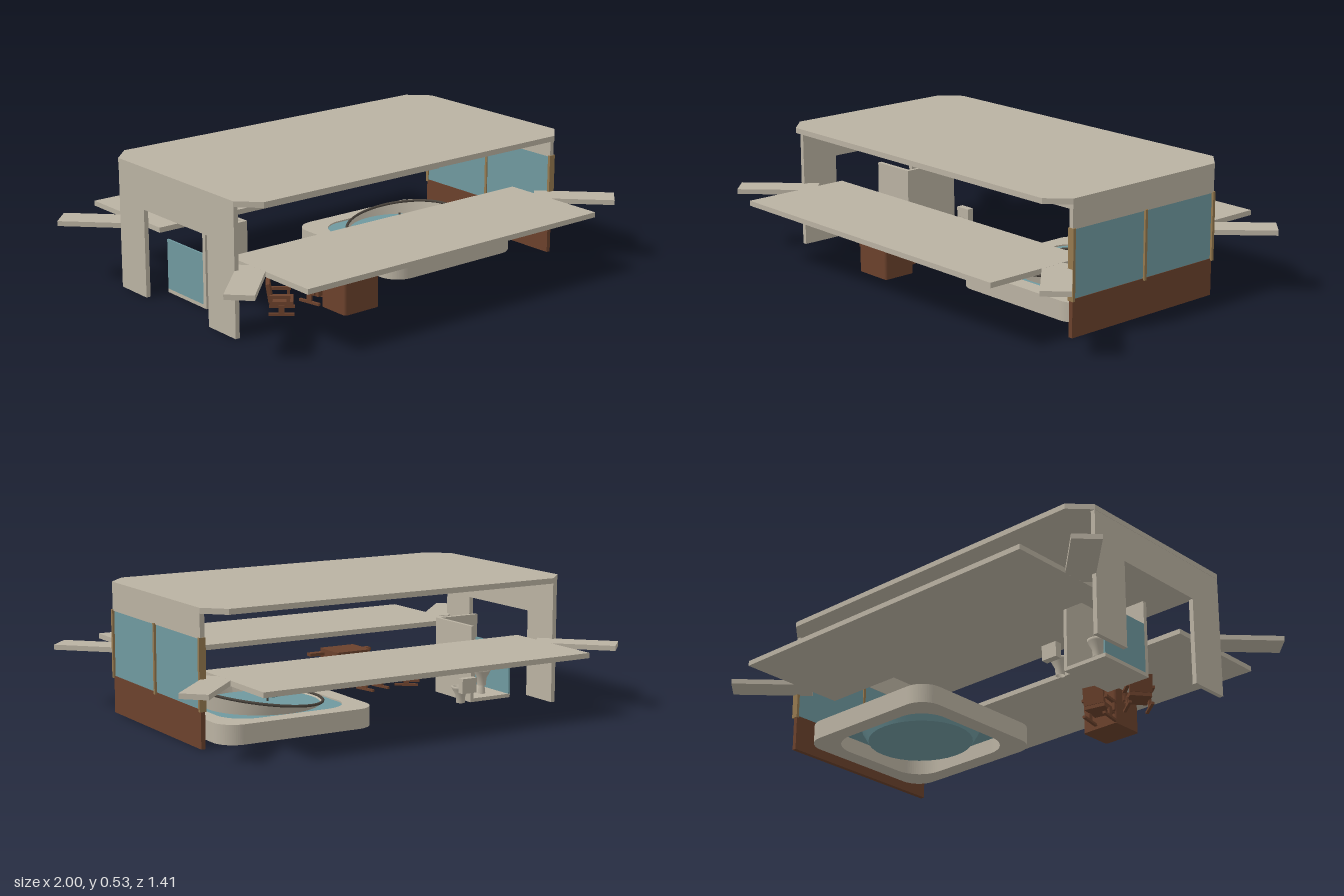
import * as THREE from 'three';

const mat = (name, color, side = THREE.FrontSide) => {
  const m = new THREE.MeshStandardMaterial({ color, side });
  m.name = name;
  return m;
};

export function createModel() {
  const root = new THREE.Group();
  root.name = 'pavilion';
  const plaster = mat('plaster', 0xbab2a2, THREE.DoubleSide);
  const brown = mat('dark wood', 0x6b412c);
  const glass = mat('teal glass', 0x6f999f, THREE.DoubleSide);
  const wood = mat('light wood', 0x95794f);
  const metal = mat('dark metal', 0x4a443d);

  const add = (name, geo, m, x = 0, y = 0, z = 0, parent = root) => {
    const mesh = new THREE.Mesh(geo, m);
    mesh.name = name;
    mesh.position.set(x, y, z);
    parent.add(mesh);
    return mesh;
  };
  // box given by its limits
  const box = (name, m, x0, x1, y0, y1, z0, z1, parent = root) =>
    add(name, new THREE.BoxGeometry(x1 - x0, y1 - y0, z1 - z0), m,
      (x0 + x1) / 2, (y0 + y1) / 2, (z0 + z1) / 2, parent);
  // flat outline raised along y
  const slab = (shape, h) => new THREE.ExtrudeGeometry(shape,
    { depth: h, bevelEnabled: false, curveSegments: 10 }).rotateX(-Math.PI / 2);
  const roundRect = (path, w, d, r) => {
    const a = w / 2, b = d / 2;
    path.moveTo(-a + r, -b);
    path.lineTo(a - r, -b); path.absarc(a - r, -b + r, r, -Math.PI / 2, 0);
    path.lineTo(a, b - r); path.absarc(a - r, b - r, r, 0, Math.PI / 2);
    path.lineTo(-a + r, b); path.absarc(-a + r, b - r, r, Math.PI / 2, Math.PI);
    path.lineTo(-a, -b + r); path.absarc(-a + r, -b + r, r, Math.PI, Math.PI * 1.5);
    return path;
  };

  // roof with cut corners
  const outline = [[0.82, 0.38], [0.74, 0.46], [-0.74, 0.46], [-0.82, 0.38],
    [-0.82, -0.38], [-0.74, -0.46], [0.74, -0.46], [0.82, -0.38]];
  const roofShape = new THREE.Shape(outline.map(([x, y]) => new THREE.Vector2(x, y)));
  add('roof', slab(roofShape, 0.022), plaster, 0, 0.51, 0);

  // glazed end wall
  box('wallBase', brown, 0.8, 0.818, 0, 0.15, -0.378, 0.378);
  box('wallGlass', glass, 0.802, 0.816, 0.15, 0.415, -0.378, 0.378);
  box('wallTop', plaster, 0.8, 0.819, 0.415, 0.511, -0.38, 0.38);
  for (const z of [-0.377, 0, 0.377]) box('mullion', wood, 0.797, 0.825, 0.142, 0.42, z - 0.006, z + 0.006);

  // entrance end wall
  box('entranceLegFront', plaster, -0.819, -0.8, 0, 0.36, 0.21, 0.38);
  box('entranceLegBack', plaster, -0.819, -0.8, 0, 0.36, -0.38, -0.21);
  box('entranceLintel', plaster, -0.819, -0.8, 0.36, 0.511, -0.38, 0.38);

  // side canopies and diagonal corner planks
  for (const s of [-1, 1]) {
    add('canopy', new THREE.BoxGeometry(1.47, 0.021, 0.475), plaster, 0, 0.255, s * 0.468);
    for (const t of [-1, 1]) {
      const plank = add('cornerPlank', new THREE.BoxGeometry(0.33, 0.0205, 0.113), plaster,
        t * 0.843, 0.255, s * 0.483);
      plank.rotation.y = -s * t * Math.PI / 4;
    }
  }

  // ceiling lamps
  for (const x of [-0.57, 0, 0.69]) {
    add('lamp', new THREE.CylinderGeometry(0.041, 0.041, 0.022, 20), wood, x, 0.484, 0);
    add('lampLower', new THREE.CylinderGeometry(0.041, 0.031, 0.012, 20), wood, x, 0.467, 0);
    add('lampStem', new THREE.CylinderGeometry(0.006, 0.006, 0.018, 8), metal, x, 0.503, 0);
  }

  // pool: deck ring, basin and sloping surround
  const pool = new THREE.Group();
  pool.name = 'pool';
  pool.position.set(0.39, 0, -0.06);
  root.add(pool);
  const ring = roundRect(new THREE.Shape(), 0.68, 0.66, 0.09);
  ring.holes.push(roundRect(new THREE.Path(), 0.54, 0.52, 0.12));
  add('poolDeck', slab(ring, 0.078), plaster, 0, 0, 0, pool);
  add('poolSurface', slab(roundRect(new THREE.Shape(), 0.55, 0.53, 0.12), 0.008), glass, 0, 0.064, 0, pool);
  const basin = add('basin', new THREE.CylinderGeometry(0.25, 0.22, 0.05, 32), glass, 0, 0.042, 0, pool);
  basin.scale.z = 0.95;
  const rimY = (x) => 0.08 + 0.06 * Math.pow((x + 0.25) / 0.5, 1.4);
  const wall = new THREE.CylinderGeometry(0.245, 0.235, 1, 40, 1, true);
  const p = wall.attributes.position;
  for (let i = 0; i < p.count; i++) p.setY(i, p.getY(i) > 0 ? rimY(p.getX(i)) : 0.072);
  wall.computeVertexNormals();
  add('slopedSurround', wall, plaster, 0, 0, 0, pool);
  const rimPoints = [];
  for (let i = 0; i < 32; i++) {
    const a = i / 32 * Math.PI * 2, x = 0.245 * Math.cos(a);
    rimPoints.push(new THREE.Vector3(x, rimY(x), 0.245 * Math.sin(a)));
  }
  add('surroundRim', new THREE.TubeGeometry(new THREE.CatmullRomCurve3(rimPoints, true), 64, 0.006, 6, true),
    metal, 0, 0, 0, pool);
  const spout = new THREE.CatmullRomCurve3([[-0.22, 0.075, 0.1], [-0.2, 0.115, 0.1], [-0.16, 0.12, 0.1], [-0.145, 0.1, 0.1]]
    .map((v) => new THREE.Vector3(...v)));
  add('spout', new THREE.TubeGeometry(spout, 16, 0.004, 6), metal, 0, 0, 0, pool);
  add('standpipe', new THREE.CylinderGeometry(0.004, 0.004, 0.08, 8), metal, -0.03, 0.115, 0, pool);
  const cushion = add('float', new THREE.SphereGeometry(0.04, 16, 8), glass, -0.06, 0.1, 0.02, pool);
  cushion.scale.y = 0.4;

  // reception counter
  const counter = roundRect(new THREE.Shape(), 0.17, 0.145, 0.012);
  add('counter', slab(counter, 0.158), brown, -0.265, 0, 0.372);
  box('counterShelf', brown, -0.417, -0.112, 0.131, 0.144, 0.405, 0.438);

  // chairs
  const chair = (x, z, turn) => {
    const g = new THREE.Group();
    g.name = 'chair';
    g.position.set(x, 0, z);
    g.rotation.y = turn;
    root.add(g);
    box('seat', brown, -0.045, 0.045, 0.035, 0.055, -0.045, 0.045, g);
    const back = box('chairBack', brown, -0.045, 0.045, 0.05, 0.125, -0.055, -0.04, g);
    back.rotation.x = -0.15;
    for (const s of [-1, 1]) {
      box('armRest', brown, s * 0.051 - 0.007, s * 0.051 + 0.007, 0.072, 0.083, -0.045, 0.035, g);
      box('armPost', brown, s * 0.051 - 0.005, s * 0.051 + 0.005, 0.04, 0.075, 0.02, 0.032, g);
      box('runner', brown, s * 0.045 - 0.006, s * 0.045 + 0.006, 0, 0.01, -0.05, 0.05, g);
      box('leg', brown, s * 0.045 - 0.005, s * 0.045 + 0.005, 0.008, 0.04, -0.012, 0.012, g);
    }
  };
  chair(-0.505, 0.25, 0.9);
  chair(-0.32, 0.235, 0.2);

  // washroom: partitions, floor, glass screen, fixtures
  box('washroomFront', plaster, -0.715, -0.515, 0, 0.318, 0.03, 0.048);
  box('washroomSide', plaster, -0.53, -0.515, 0, 0.318, -0.21, 0.03);
  box('washroomFloor', plaster, -0.715, -0.53, 0, 0.015, -0.21, 0.03);
  box('showerScreen', glass, -0.715, -0.707, 0.015, 0.22, -0.21, 0.03);
  box('cabinet', brown, -0.66, -0.62, 0.12, 0.17, 0.0, 0.029);
  const bowl = [[0.018, 0], [0.02, 0.03], [0.036, 0.06], [0.038, 0.07], [0.028, 0.07], [0.01, 0.045], [0, 0.045]]
    .map(([r, y]) => new THREE.Vector2(r, y));
  add('toiletBowl', new THREE.LatheGeometry(bowl, 20), plaster, -0.478, 0, -0.19);
  box('toiletTank', plaster, -0.513, -0.443, 0.05, 0.112, -0.255, -0.225);
  add('sink', new THREE.LatheGeometry(bowl, 20), plaster, -0.62, 0.05, -0.14);
  add('sinkPedestal', new THREE.CylinderGeometry(0.012, 0.018, 0.05, 12), plaster, -0.62, 0.025, -0.14);

  return root;
}
